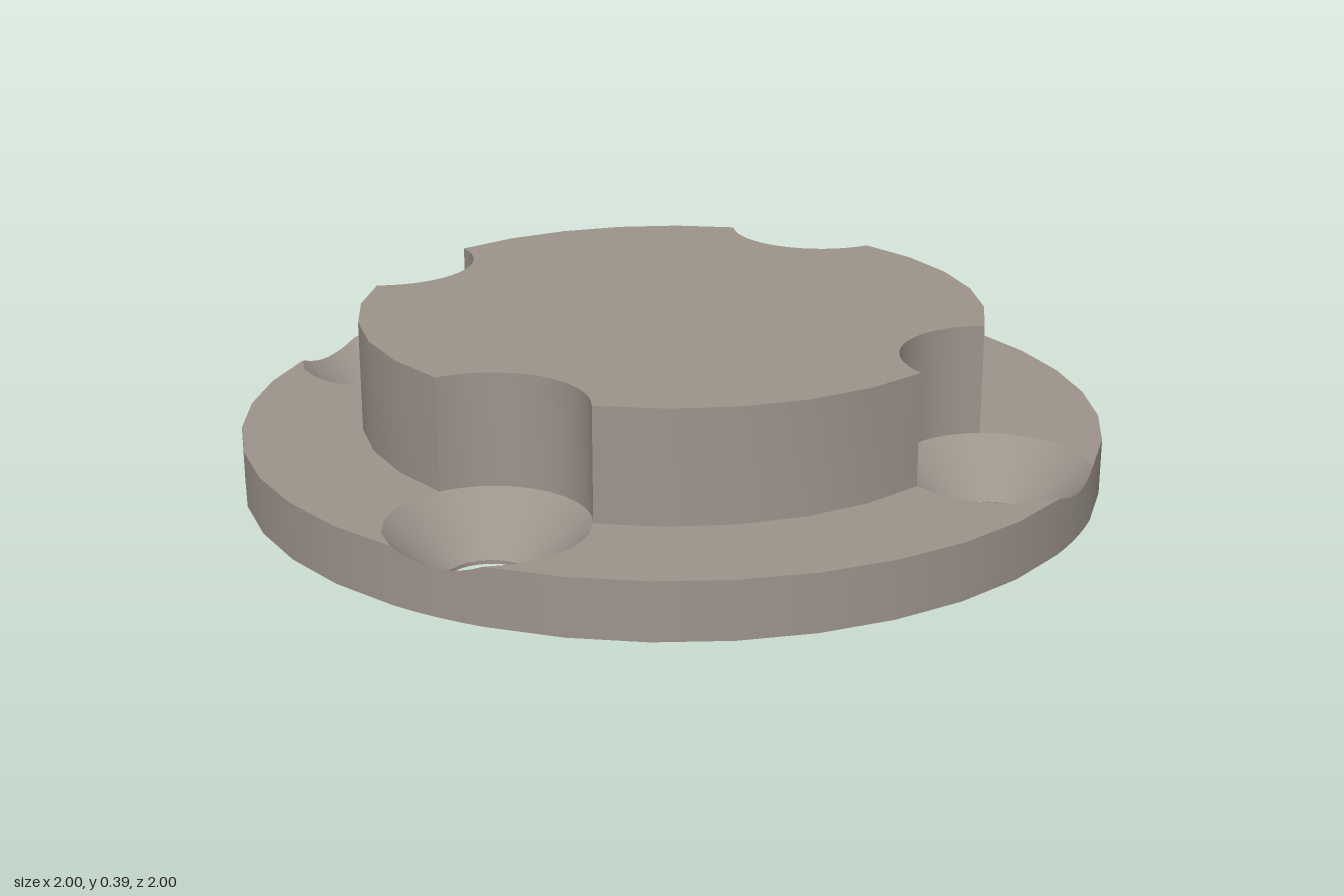
import * as THREE from 'three';
import { toCreasedNormals } from 'three/addons/utils/BufferGeometryUtils.js';
import { ParametricGeometry } from 'three/addons/geometries/ParametricGeometry.js';

const FLANGE_R = 1, FLANGE_H = 0.13;
const BOSS_R = 0.724, BOSS_H = 0.257;
const HOLE_D = 0.57 * Math.SQRT2; // hole distance from the axis
const HOLE_R = 0.097, SINK_R = 0.218;
const SINK_Y = FLANGE_H - (SINK_R - HOLE_R); // foot of the 45 degree countersink
const RIM_SEGMENTS = 8; // rim facets between two neighbouring countersinks

const quadrants = [0, 1, 2, 3].map((k) => Math.PI / 4 + (k * Math.PI) / 2);

// Half angle, seen from the axis, at which a countersink cuts a circle of radius R
const cutAngle = (R) => Math.acos((HOLE_D ** 2 + R ** 2 - SINK_R ** 2) / (2 * HOLE_D * R));

// Disc of radius R with four round bites taken out around the holes
function bittenDisc(R, arcSegments) {
  const a = cutAngle(R);
  const g = Math.atan2(R * Math.sin(a), R * Math.cos(a) - HOLE_D);
  const points = [];
  for (const q of quadrants) {
    const centre = new THREE.Vector2(HOLE_D, 0);
    const n = 16;
    for (let i = 0; i <= n; i++) {
      const t = -g + (i / n) * (2 * g - 2 * Math.PI);
      points.push(new THREE.Vector2(SINK_R * Math.cos(t), SINK_R * Math.sin(t))
        .add(centre).rotateAround(new THREE.Vector2(), q));
    }
    for (let i = 1; i < arcSegments; i++) {
      const t = q + a + (i / arcSegments) * (Math.PI / 2 - 2 * a);
      points.push(new THREE.Vector2(R * Math.cos(t), R * Math.sin(t)));
    }
  }
  return new THREE.Shape(points);
}

// Angles round the flange rim: fine steps at the cuts, coarse between them
function rimAngles() {
  const a = cutAngle(FLANGE_R), list = [];
  for (const q of quadrants) {
    for (let i = 0; i < 8; i++) list.push(q - a + (i / 8) * 2 * a);
    for (let i = 0; i < RIM_SEGMENTS; i++) list.push(q + a + (i / RIM_SEGMENTS) * (Math.PI / 2 - 2 * a));
  }
  list.push(list[0] + 2 * Math.PI);
  return list;
}

export function createModel() {
  const model = new THREE.Group();
  const material = new THREE.MeshStandardMaterial({ color: 0x9d948b });
  const add = (name, geometry, parent = model) => {
    const mesh = new THREE.Mesh(geometry, material);
    mesh.name = name;
    parent.add(mesh);
  };

  // Raised boss with four scalloped clearances
  const boss = new THREE.ExtrudeGeometry(bittenDisc(BOSS_R, 5), { depth: BOSS_H, bevelEnabled: false });
  boss.rotateX(-Math.PI / 2).translate(0, FLANGE_H, 0);
  add('boss', toCreasedNormals(boss, Math.PI / 6));

  // Flange top
  const top = new THREE.ShapeGeometry(bittenDisc(FLANGE_R, RIM_SEGMENTS));
  add('flangeTop', top.rotateX(-Math.PI / 2).translate(0, FLANGE_H, 0));

  // Flange underside with the four through holes
  const angles = rimAngles();
  const base = new THREE.Shape(angles.slice(0, -1).map((t) => new THREE.Vector2(Math.cos(t), Math.sin(t))));
  for (const q of quadrants) {
    const hole = new THREE.Path();
    hole.absarc(HOLE_D * Math.cos(q), HOLE_D * Math.sin(q), HOLE_R, 0, 2 * Math.PI, true);
    base.holes.push(hole);
  }
  add('flangeBottom', new THREE.ShapeGeometry(base, 24).rotateX(Math.PI / 2));

  // Flange rim, dipping where a countersink runs out through it
  const steps = angles.length - 1;
  add('flangeRim', new ParametricGeometry((u, v, out) => {
    const i = Math.min(Math.floor(u * steps + 1e-9), steps - 1);
    const t = THREE.MathUtils.lerp(angles[i], angles[i + 1], u * steps - i);
    const x = FLANGE_R * Math.cos(t), z = FLANGE_R * Math.sin(t);
    const d = Math.min(...quadrants.map((q) => Math.hypot(x - HOLE_D * Math.cos(q), z - HOLE_D * Math.sin(q))));
    const y = FLANGE_H - Math.max(0, SINK_R - d);
    out.set(x, y * (1 - v), z);
  }, steps, 1));

  // Countersunk screw holes
  for (const q of quadrants) {
    const screwHole = new THREE.Group();
    screwHole.name = 'screwHole';
    screwHole.position.set(HOLE_D * Math.cos(q), 0, HOLE_D * Math.sin(q));
    screwHole.rotation.y = -q;
    model.add(screwHole);

    add('countersink', new ParametricGeometry((u, v, out) => {
      const t = u * 2 * Math.PI, c = Math.cos(t);
      // stop the cone at the flange rim
      const reach = -HOLE_D * c + Math.sqrt(FLANGE_R ** 2 - HOLE_D ** 2 + (HOLE_D * c) ** 2);
      const r = HOLE_R + v * (Math.min(SINK_R, reach) - HOLE_R);
      out.set(r * c, SINK_Y + r - HOLE_R, r * Math.sin(t));
    }, 48, 2), screwHole);

    add('holeWall', new ParametricGeometry((u, v, out) => {
      const t = u * 2 * Math.PI;
      out.set(HOLE_R * Math.cos(t), SINK_Y * v, HOLE_R * Math.sin(t));
    }, 24, 1), screwHole);
  }
  return model;
}
